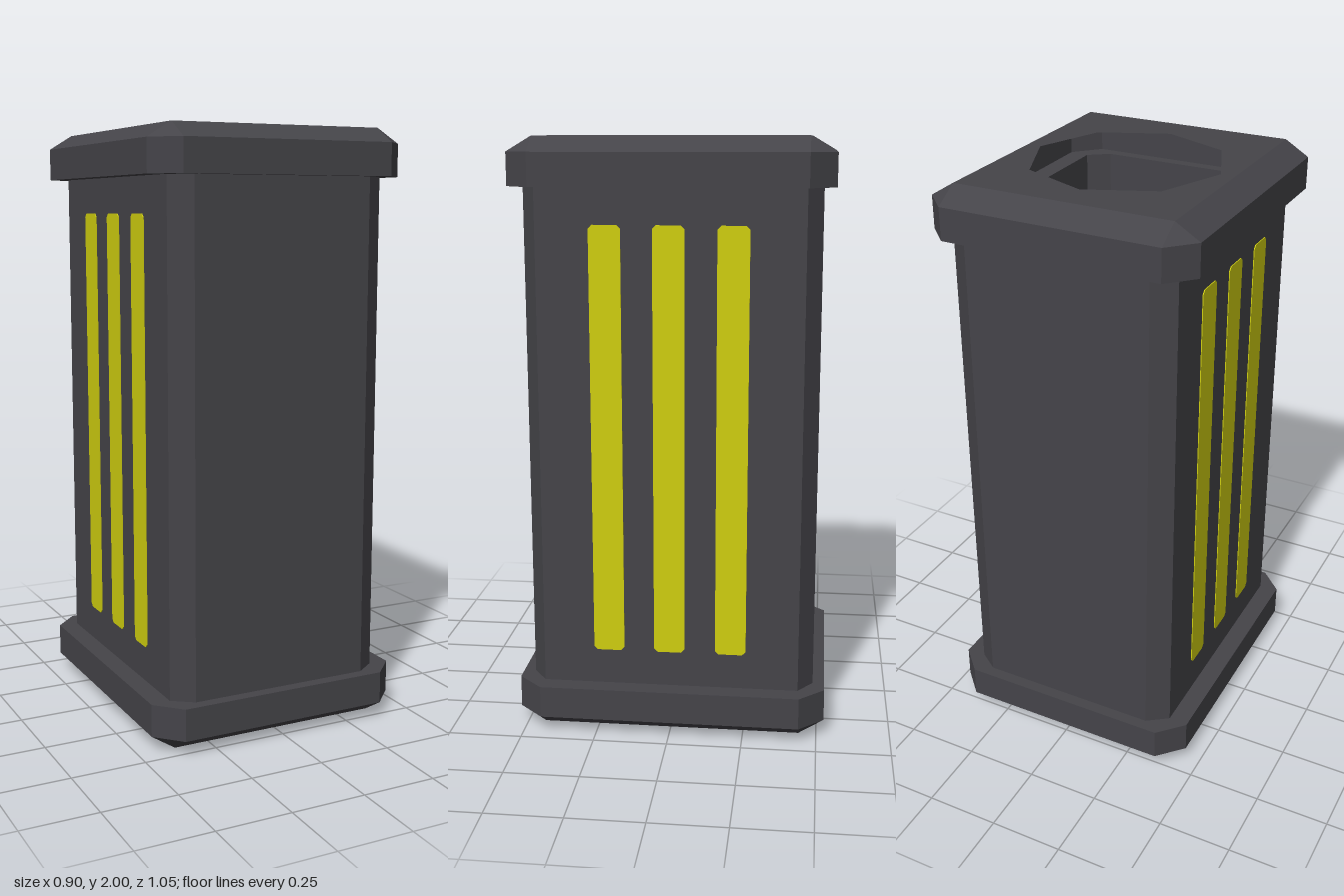
import * as THREE from 'three';

// Chamfered rectangle loop: outer half sizes X, Z; flat faces end at a (x) and b (z)
const ring = (y, X, Z, a, b) => [
  [-a, Z], [a, Z], [X, b], [X, -b], [a, -Z], [-a, -Z], [-X, -b], [-X, b],
].map(([x, z]) => [x, y, z]);

const tip = (y) => ring(y, 0.37, 0.44, 0.37, 0.44);
const collar = (y) => ring(y, 0.452, 0.525, 0.37, 0.44);
const wall = (y) => ring(y, 0.385, 0.485, 0.315, 0.435);

// Open shell joining successive loops, bottom to top
function loft(rings) {
  const p = [];
  for (let k = 0; k < rings.length - 1; k++) {
    for (let i = 0; i < 8; i++) {
      const j = (i + 1) % 8;
      const [a, b, c, d] = [rings[k][i], rings[k][j], rings[k + 1][j], rings[k + 1][i]];
      p.push(...a, ...b, ...c, ...a, ...c, ...d);
    }
  }
  const g = new THREE.BufferGeometry();
  g.setAttribute('position', new THREE.Float32BufferAttribute(p, 3));
  g.computeVertexNormals();
  return g;
}

export function createModel() {
  const grey = new THREE.MeshStandardMaterial({ color: 0x454449, flatShading: true, side: THREE.DoubleSide });
  grey.name = 'dark grey';
  const yellow = new THREE.MeshStandardMaterial({ color: 0xd0cf10, flatShading: true });
  yellow.name = 'yellow';

  const model = new THREE.Group();
  model.name = 'bin';
  const add = (name, geometry, material) => {
    const mesh = new THREE.Mesh(geometry, material);
    mesh.name = name;
    model.add(mesh);
    return mesh;
  };

  // Hollow shell: base collar, body and lid collar
  add('base', loft([tip(0), collar(0.053), collar(0.162), wall(0.162)]), grey);
  add('body', loft([wall(0.162), wall(1.842)]), grey);
  add('lid', loft([wall(1.842), collar(1.842), collar(1.95), tip(2)]), grey);
  add('floor', new THREE.PlaneGeometry(0.74, 0.88).rotateX(Math.PI / 2), grey);

  // Lid top with octagonal opening
  const top = new THREE.Shape([[-0.37, -0.44], [0.37, -0.44], [0.37, 0.44], [-0.37, 0.44]]
    .map(([x, y]) => new THREE.Vector2(x, y)));
  const hole = [];
  for (let i = 0; i < 8; i++) {
    const t = -i * Math.PI / 4;
    hole.push(new THREE.Vector2(0.322 * Math.cos(t), 0.322 * Math.sin(t)));
  }
  top.holes.push(new THREE.Path(hole));
  add('lidTop', new THREE.ShapeGeometry(top).rotateX(-Math.PI / 2).translate(0, 2, 0), grey);

  // Three clipped-corner stripes per side, showing on both faces of the wall
  const w = 0.052, h = 0.72, c = 0.012;
  const stripe = new THREE.Shape([
    [-w + c, -h], [w - c, -h], [w, -h + c], [w, h - c],
    [w - c, h], [-w + c, h], [-w, h - c], [-w, -h + c],
  ].map(([x, y]) => new THREE.Vector2(x, y)));
  const plate = new THREE.ExtrudeGeometry(stripe, { depth: 0.006, bevelEnabled: false })
    .translate(0, 0, -0.003).rotateY(Math.PI / 2);
  for (const side of [-1, 1]) {
    for (const z of [-0.205, 0.003, 0.209]) {
      add(side > 0 ? 'leftStripe' : 'rightStripe', plate, yellow)
        .position.set(side * 0.385, 1.003, side * z);
    }
  }
  return model;
}
